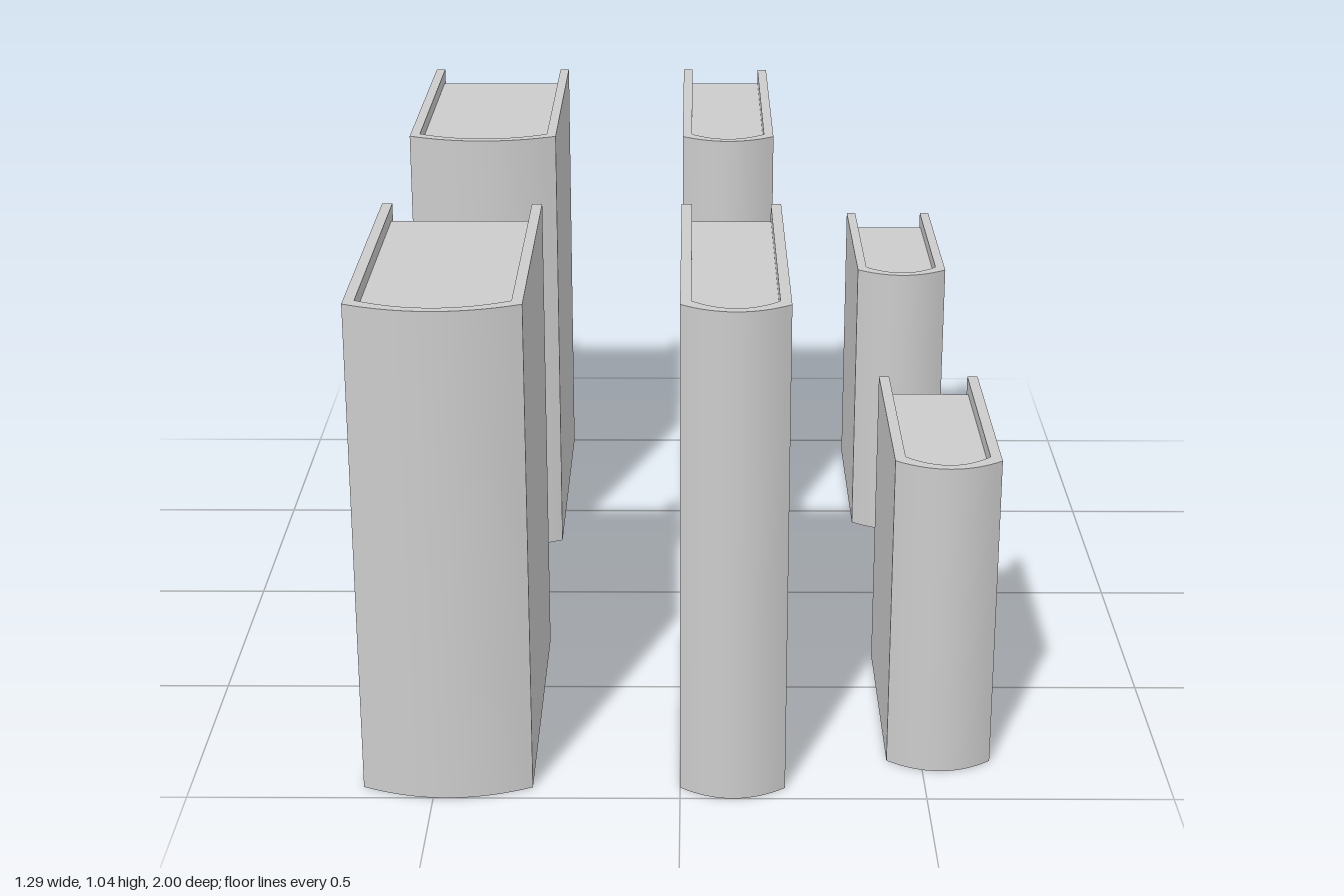
import * as THREE from 'three';
import { toCreasedNormals } from 'three/addons/utils/BufferGeometryUtils.js';

const grey = new THREE.MeshStandardMaterial({ color: 0xcccccc });
const BULGE = 0.045;   // how far the rounded spine stands out
const BOARD = 0.022;   // cover thickness
const INSET = 0.03;    // pages set back from the cover edges

// Points of a rounded spine from x = -half to x = half, starting at depth z
function spineArc(half, z, steps = 16) {
  return Array.from({ length: steps + 1 }, (_, i) => {
    const t = (i / steps) * 2 - 1;
    return new THREE.Vector2(t * half, -(z + BULGE * (1 - t * t)));
  });
}

// Extrude a plan outline upwards, keeping the spine smooth and the corners sharp
function standing(name, points, height, y) {
  const geometry = new THREE.ExtrudeGeometry(new THREE.Shape(points), { depth: height, bevelEnabled: false });
  geometry.rotateX(-Math.PI / 2);
  geometry.translate(0, y, 0);
  const mesh = new THREE.Mesh(toCreasedNormals(geometry, 0.5), grey);
  mesh.name = name;
  return mesh;
}

// A book with its open edge at z = 0 and its spine towards +z
function makeBook(name, width, height, depth) {
  const book = new THREE.Group();
  book.name = name;
  const half = width / 2;
  const inner = half - BOARD;
  const outerZ = depth - BULGE;
  const innerZ = outerZ - BOARD;

  // U-shaped cover: outside of the spine, then back along the inside
  const cover = [
    new THREE.Vector2(-half, 0),
    ...spineArc(half, outerZ),
    new THREE.Vector2(half, 0),
    new THREE.Vector2(inner, 0),
    ...spineArc(inner, innerZ).reverse(),
    new THREE.Vector2(-inner, 0),
  ];
  // Page block fills the cover, set back at the open edge, top and bottom
  const pages = [
    new THREE.Vector2(-inner, -INSET),
    ...spineArc(inner, innerZ),
    new THREE.Vector2(inner, -INSET),
  ];
  book.add(standing('cover', cover, height, 0));
  book.add(standing('pages', pages, height - 2 * INSET, INSET));
  return book;
}

export function createModel() {
  const model = new THREE.Group();
  model.name = 'books';
  const kinds = [
    { name: 'thickBook', x: -0.473, width: 0.345, height: 1.038, depth: 0.735, z: 0.265 },
    { name: 'thinBook', x: 0.107, width: 0.214, height: 1.038, depth: 0.735, z: 0.265 },
    { name: 'smallBook', x: 0.536, width: 0.214, height: 0.672, depth: 0.54, z: 0.343 },
  ];
  // Two matching rows, one behind the other
  for (const [row, offset] of [['front', 0], ['back', -1.265]]) {
    for (const k of kinds) {
      const book = makeBook(`${row}_${k.name}`, k.width, k.height, k.depth);
      book.position.set(k.x, 0, k.z + offset);
      model.add(book);
    }
  }
  return model;
}
